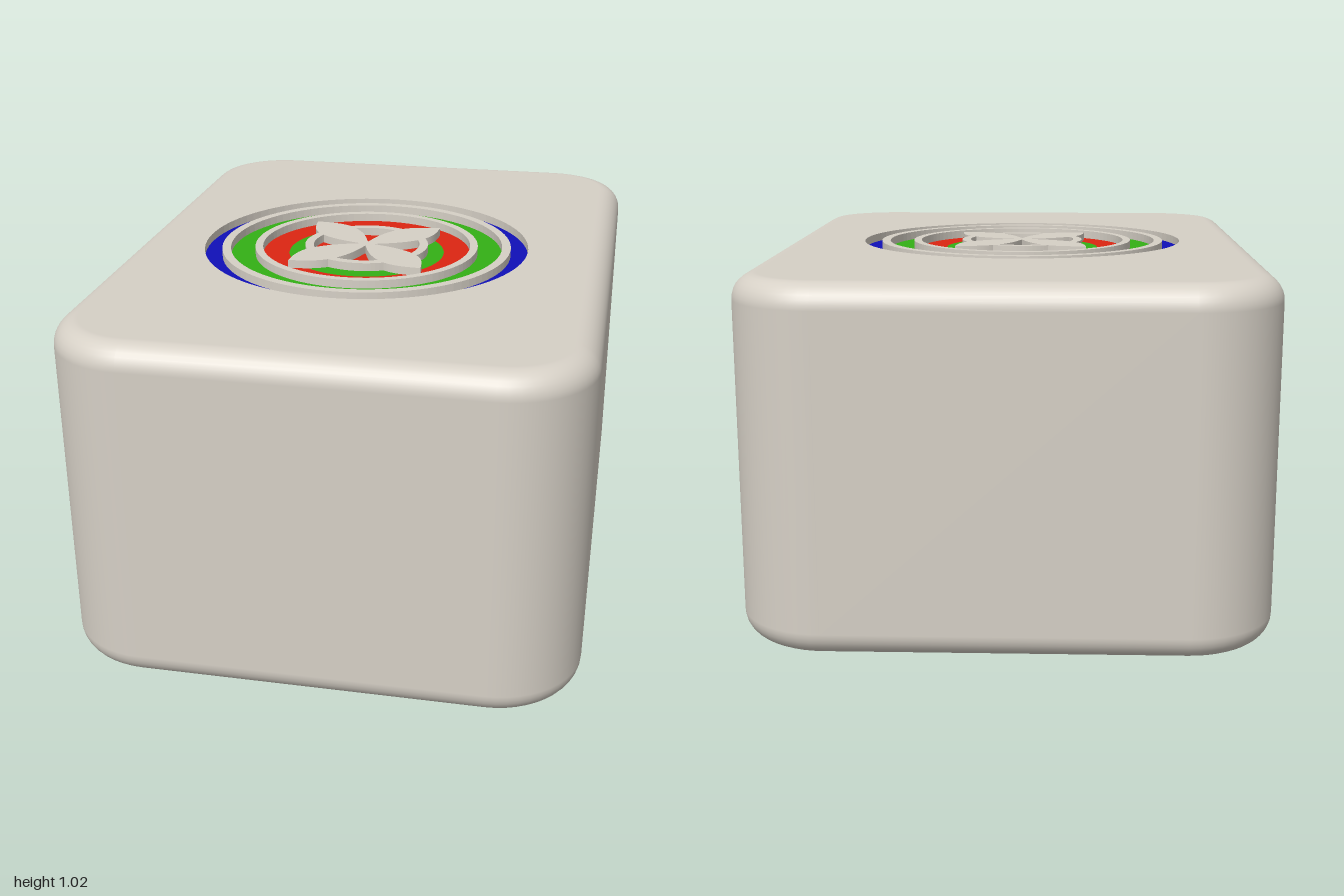
import * as THREE from 'three';

const W = 0.745, L = 1, H = 1.02; // half width, half length, height
const CORNER = 0.25, BEVEL = 0.07, DEPTH = 0.025;
const CX = -0.02, CZ = 0.025; // centre of the round motif
const STEPS = 12;

const mat = (color) => new THREE.MeshStandardMaterial({ color });
const cream = mat(0xd6d0c6), red = mat(0xdc2612), green = mat(0x34b015), blue = mat(0x1010b8);

// Angles and arc centres of the rounded rectangle, going round once
const outline = [];
[[1, 1], [-1, 1], [-1, -1], [1, -1]].forEach(([sx, sz], q) => {
  for (let i = 0; i <= STEPS; i++) {
    outline.push({
      a: (q + i / STEPS) * Math.PI / 2,
      x: sx * (W - CORNER),
      z: sz * (L - CORNER),
    });
  }
});

function flatOutline() {
  const r = CORNER - BEVEL;
  return new THREE.Shape(outline.map((o) =>
    new THREE.Vector2(o.x + r * Math.cos(o.a), -(o.z + r * Math.sin(o.a)))));
}

// Sides with rounded top and bottom edges
function sideGeometry() {
  const pos = [], nor = [], idx = [], n = outline.length;
  const rows = [];
  for (let k = 0; k <= 16; k++) {
    const p = (k / 16 - 0.5) * Math.PI;
    if (k <= 8) rows.push([p, BEVEL]);
    if (k >= 8) rows.push([p, H - BEVEL]);
  }
  rows.forEach(([p, yc]) => outline.forEach((o) => {
    const r = CORNER - BEVEL + BEVEL * Math.cos(p);
    pos.push(o.x + r * Math.cos(o.a), yc + BEVEL * Math.sin(p), o.z + r * Math.sin(o.a));
    nor.push(Math.cos(p) * Math.cos(o.a), Math.sin(p), Math.cos(p) * Math.sin(o.a));
  }));
  for (let k = 0; k < rows.length - 1; k++) {
    for (let i = 0; i < n; i++) {
      const a = k * n + i, b = k * n + (i + 1) % n;
      idx.push(a, a + n, b, b, a + n, b + n);
    }
  }
  const g = new THREE.BufferGeometry();
  g.setAttribute('position', new THREE.Float32BufferAttribute(pos, 3));
  g.setAttribute('normal', new THREE.Float32BufferAttribute(nor, 3));
  g.setIndex(idx);
  return g;
}

const disc = (r, x = 0, y = 0) => new THREE.Path().absarc(x, y, r, 0, Math.PI * 2, false);

// A plate standing from the engraved floor up to the top face
function raised(shape) {
  const g = new THREE.ExtrudeGeometry(shape, { depth: DEPTH, bevelEnabled: false, curveSegments: 48 });
  return g.rotateX(-Math.PI / 2).translate(0, H - DEPTH, 0);
}

function ringShape(outer, inner) {
  const s = new THREE.Shape();
  s.absarc(0, 0, outer, 0, Math.PI * 2, false);
  s.holes.push(disc(inner));
  return s;
}

// Leaf pointing along +x, from the centre to its tip
function petalShape() {
  const s = new THREE.Shape();
  s.moveTo(-0.008, 0);
  s.lineTo(0, 0.008);
  s.bezierCurveTo(0.05, 0.03, 0.09, 0.06, 0.165, 0.063);
  s.bezierCurveTo(0.22, 0.062, 0.255, 0.028, 0.288, 0);
  s.bezierCurveTo(0.255, -0.028, 0.22, -0.062, 0.165, -0.063);
  s.bezierCurveTo(0.09, -0.06, 0.05, -0.03, 0, -0.008);
  s.closePath();
  return s;
}

export function createModel() {
  const model = new THREE.Group();
  model.name = 'tile';
  const add = (parent, name, geometry, material) => {
    const m = new THREE.Mesh(geometry, material);
    m.name = name;
    parent.add(m);
    return m;
  };

  // Block
  add(model, 'sides', sideGeometry(), cream);
  add(model, 'bottomFace', new THREE.ShapeGeometry(flatOutline()).rotateX(Math.PI / 2), cream);
  const top = flatOutline();
  top.holes.push(disc(0.506, CX, -CZ));
  add(model, 'topFace', raised(top), cream);

  // Round engraved motif
  const motif = new THREE.Group();
  motif.name = 'roundMotif';
  motif.position.set(CX, 0, CZ);
  model.add(motif);

  // Coloured floors
  [
    ['blueRing', 0.506, 0.452, blue],
    ['outerGreenRing', 0.425, 0.349, green],
    ['redRing', 0.325, 0.243, red],
    ['innerGreenRing', 0.243, 0.193, green],
    ['redCentre', 0.166, 0, red],
  ].forEach(([name, outer, inner, material]) => {
    const g = inner ? new THREE.RingGeometry(inner, outer, 96) : new THREE.CircleGeometry(outer, 96);
    add(motif, name, g.rotateX(-Math.PI / 2).translate(0, H - DEPTH, 0), material);
  });

  // Raised dividers between the colours
  [[0.452, 0.425], [0.349, 0.325], [0.193, 0.166]].forEach(([outer, inner], i) => {
    add(motif, `divider${i + 1}`, raised(ringShape(outer, inner)), cream);
  });

  // Four raised petals on the diagonals
  for (let i = 0; i < 4; i++) {
    add(motif, `petal${i + 1}`, raised(petalShape()), cream).rotation.y = Math.PI / 4 + i * Math.PI / 2;
  }
  return model;
}
